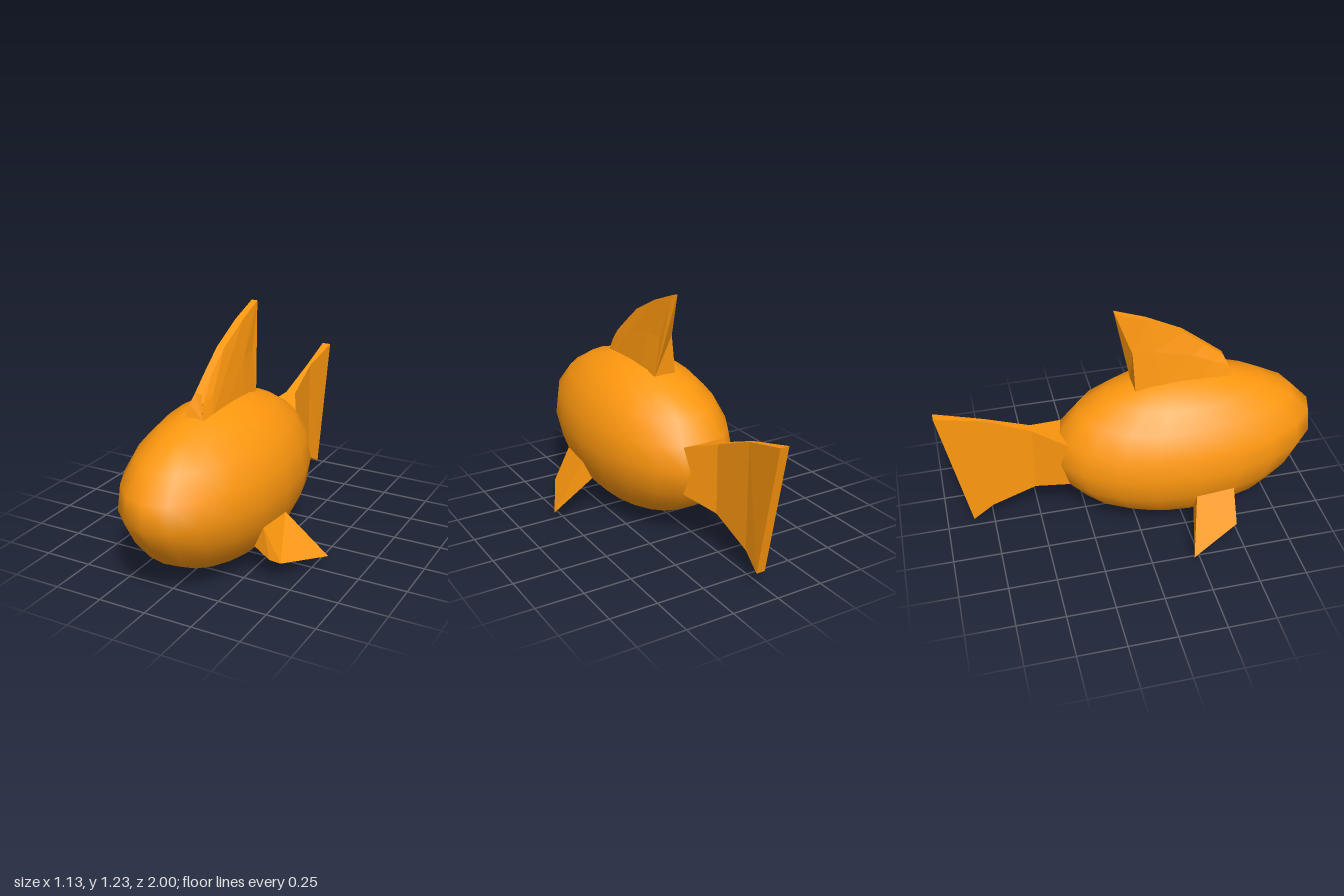
import * as THREE from 'three';
import { mergeVertices } from 'three/addons/utils/BufferGeometryUtils.js';

const material = new THREE.MeshStandardMaterial({ color: 0xff980f });
const flatMaterial = new THREE.MeshStandardMaterial({ color: 0xff980f, flatShading: true });

// Skin a closed, capped solid through rings of [x, y, z] points
function loft(name, rings) {
  const n = rings[0].length, last = (rings.length - 1) * n, index = [];
  for (let r = 0; r < rings.length - 1; r++) {
    for (let i = 0; i < n; i++) {
      const a = r * n + i, b = r * n + (i + 1) % n;
      index.push(a, b, b + n, a, b + n, a + n);
    }
  }
  for (let i = 1; i < n - 1; i++) {
    index.push(0, i + 1, i, last, last + i, last + i + 1);
  }
  // Turn the faces outward if the enclosed volume is negative
  const p = rings.flat().map((v) => new THREE.Vector3(...v));
  let volume = 0;
  for (let i = 0; i < index.length; i += 3) {
    volume += p[index[i]].dot(p[index[i + 1]].clone().cross(p[index[i + 2]]));
  }
  if (volume < 0) index.reverse();
  const geometry = new THREE.BufferGeometry().setFromPoints(p);
  geometry.setIndex(index);
  const flat = geometry.toNonIndexed();
  flat.computeVertexNormals();
  const mesh = new THREE.Mesh(flat, flatMaterial);
  mesh.name = name;
  return mesh;
}

// Egg-shaped body with the upper snout pushed slightly forward
function createBody() {
  let geometry = new THREE.SphereGeometry(1, 20, 10);
  geometry.deleteAttribute('uv');
  geometry.deleteAttribute('normal');
  geometry = mergeVertices(geometry);
  const pos = geometry.attributes.position;
  for (let i = 0; i < pos.count; i++) {
    const x = pos.getX(i), y = pos.getY(i), z = pos.getZ(i);
    const push = 0.065 * THREE.MathUtils.smoothstep(y, -0.3, 0.2) * Math.max(z, 0);
    pos.setXYZ(i, x * 0.38, 0.415 + y * 0.412, 0.27 + z * 0.685 + push);
  }
  geometry.computeVertexNormals();
  const mesh = new THREE.Mesh(geometry, material);
  mesh.name = 'body';
  return mesh;
}

// Tail: half width, [top y, z], [bottom y, z]
function createTail() {
  const sections = [
    [0.112, [0.543, -0.35], [0.287, -0.35]],
    [0.027, [0.605, -0.52], [0.235, -0.52]],
    [0.01, [0.7, -0.75], [0.135, -0.75]],
    [0.024, [0.765, -1], [0.068, -0.86]],
  ];
  return loft('tailFin', sections.map(([w, t, b]) => [[w, ...t], [w, ...b], [-w, ...b], [-w, ...t]]));
}

// Back fin: each column lists [half width, y, z] at base, middle and top
function createBackFin() {
  const columns = [
    [[0.05, 0.79, 0.528], [0.035, 0.86, 0.507], [0.018, 0.91, 0.485]],
    [[0.064, 0.79, 0.47], [0.045, 0.9, 0.42], [0.02, 0.99, 0.385]],
    [[0.068, 0.79, 0.35], [0.045, 0.95, 0.31], [0.02, 1.08, 0.27]],
    [[0.068, 0.79, 0.15], [0.043, 1, 0.11], [0.02, 1.175, 0.08]],
    [[0.06, 0.79, 0.014], [0.035, 1, 0.005], [0.016, 1.235, -0.08]],
  ];
  return loft('backFin', columns.map((c) => [
    ...c, ...[...c].reverse().map(([x, y, z]) => [-x, y, z]),
  ]));
}

// Side fin: a wedge from the lower flank, swept out, down and back
function createSideFin(name, side) {
  const root = [[0.36, 0.287, 0.27], [0.343, 0.287, 0.475], [0.292, 0.173, 0.47], [0.306, 0.173, 0.27]];
  const tip = [[0.567, 0.062, 0.205], [0.435, 0.115, 0.472], [0.38, 0.125, 0.482], [0.555, 0.066, 0.215]];
  return loft(name, [root, tip].map((ring) => ring.map(([x, y, z]) => [x * side, y, z])));
}

export function createModel() {
  const model = new THREE.Group();
  model.name = 'fish';
  model.add(
    createBody(),
    createTail(),
    createBackFin(),
    createSideFin('leftFin', 1),
    createSideFin('rightFin', -1),
  );
  return model;
}
